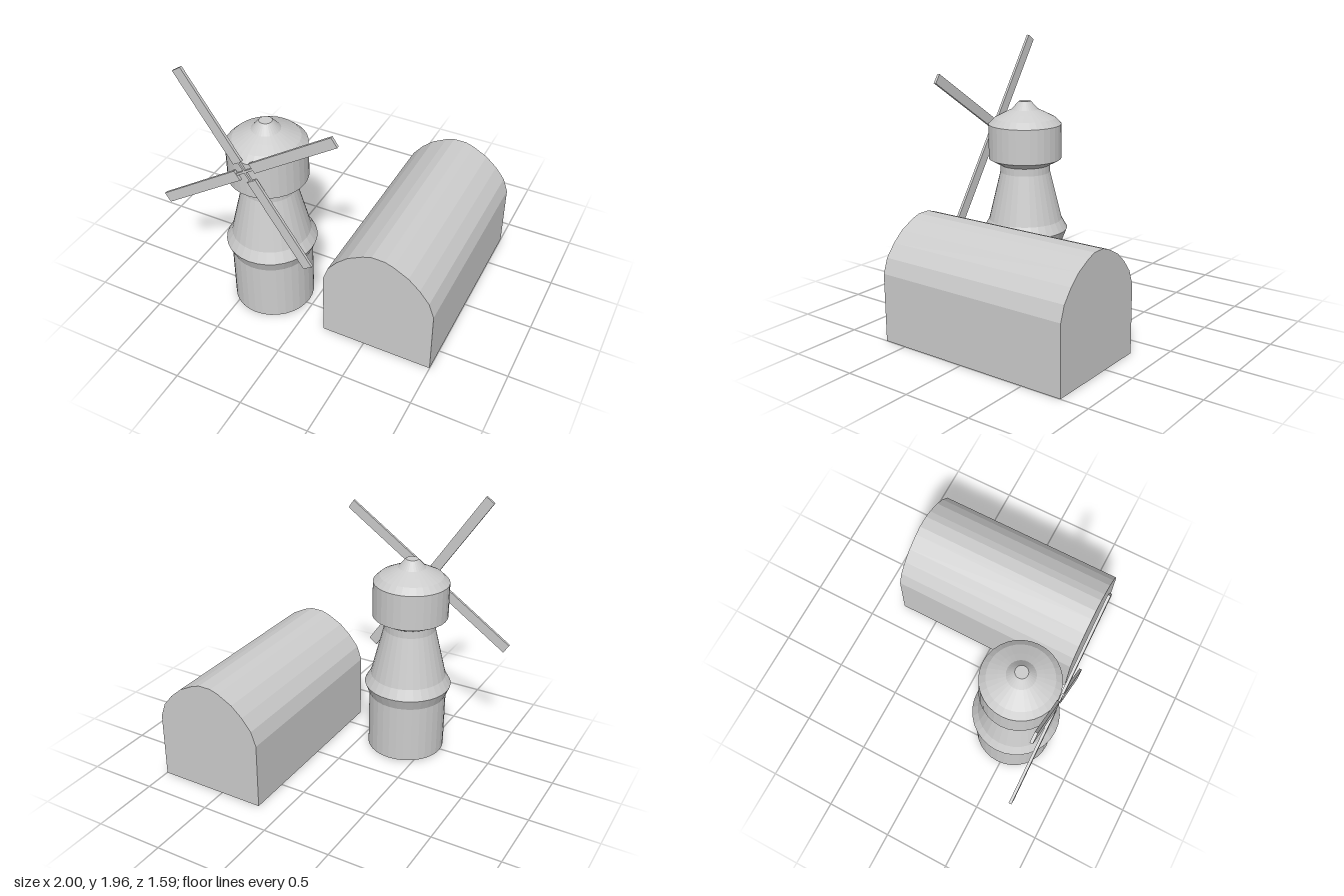
import * as THREE from 'three';

const grey = new THREE.MeshStandardMaterial({ color: 0xcccccc, flatShading: true });

function add(parent, name, geometry, x = 0, y = 0, z = 0) {
  const mesh = new THREE.Mesh(geometry, grey);
  mesh.name = name;
  mesh.position.set(x, y, z);
  parent.add(mesh);
  return mesh;
}

const lathe = (profile) =>
  new THREE.LatheGeometry(profile.map(([r, y]) => new THREE.Vector2(r, y)), 32);

export function createModel() {
  const model = new THREE.Group();
  model.name = 'windmillAndBarn';

  // Windmill: tower, cap and sails share one axis
  const mill = new THREE.Group();
  mill.name = 'windmill';
  mill.position.set(-0.325, 0, 0.473);
  model.add(mill);

  // Round base, flared gallery and tapering tower
  add(mill, 'tower', lathe([
    [0, 0.01], [0.288, 0.01], [0.288, 0.45], [0.322, 0.535],
    [0.28, 0.61], [0.19, 0.98], [0.19, 1.037],
  ]));

  // Wide cap with a curved conical roof
  add(mill, 'cap', lathe([
    [0.19, 1.037], [0.277, 1.085], [0.277, 1.348], [0.23, 1.394],
    [0.155, 1.432], [0.1, 1.458], [0.045, 1.52], [0, 1.52],
  ]));

  // Four sails at right angles, each a thin spar and a flat blade
  const sails = new THREE.Group();
  sails.name = 'sails';
  sails.position.set(0, 1.291, 0.283);
  mill.add(sails);
  for (let i = 0; i < 4; i++) {
    const sail = new THREE.Group();
    sail.name = 'sail';
    sail.rotation.z = THREE.MathUtils.degToRad(33.75 + 90 * i);
    add(sail, 'spar', new THREE.BoxGeometry(0.09, 0.016, 0.014), 0.045, 0, 0);
    add(sail, 'blade', new THREE.BoxGeometry(0.715, 0.075, 0.02), 0.4325, 0.008, 0);
    sails.add(sail);
  }

  // Barn: straight walls under a faceted arch, extruded from back to front
  const arch = [[0.407, 0.49], [0.37, 0.595], [0.3, 0.682], [0.218, 0.755], [0.11, 0.812], [0.047, 0.833]];
  const outline = [[0.407, 0], ...arch, ...arch.map(([x, y]) => [-x, y]).reverse(), [-0.407, 0]];
  const section = new THREE.Shape(outline.map(([x, y]) => new THREE.Vector2(x, y)));
  add(model, 'barn', new THREE.ExtrudeGeometry(section, { depth: 1.47, bevelEnabled: false }), 0.592, 0, -0.797);

  return model;
}
